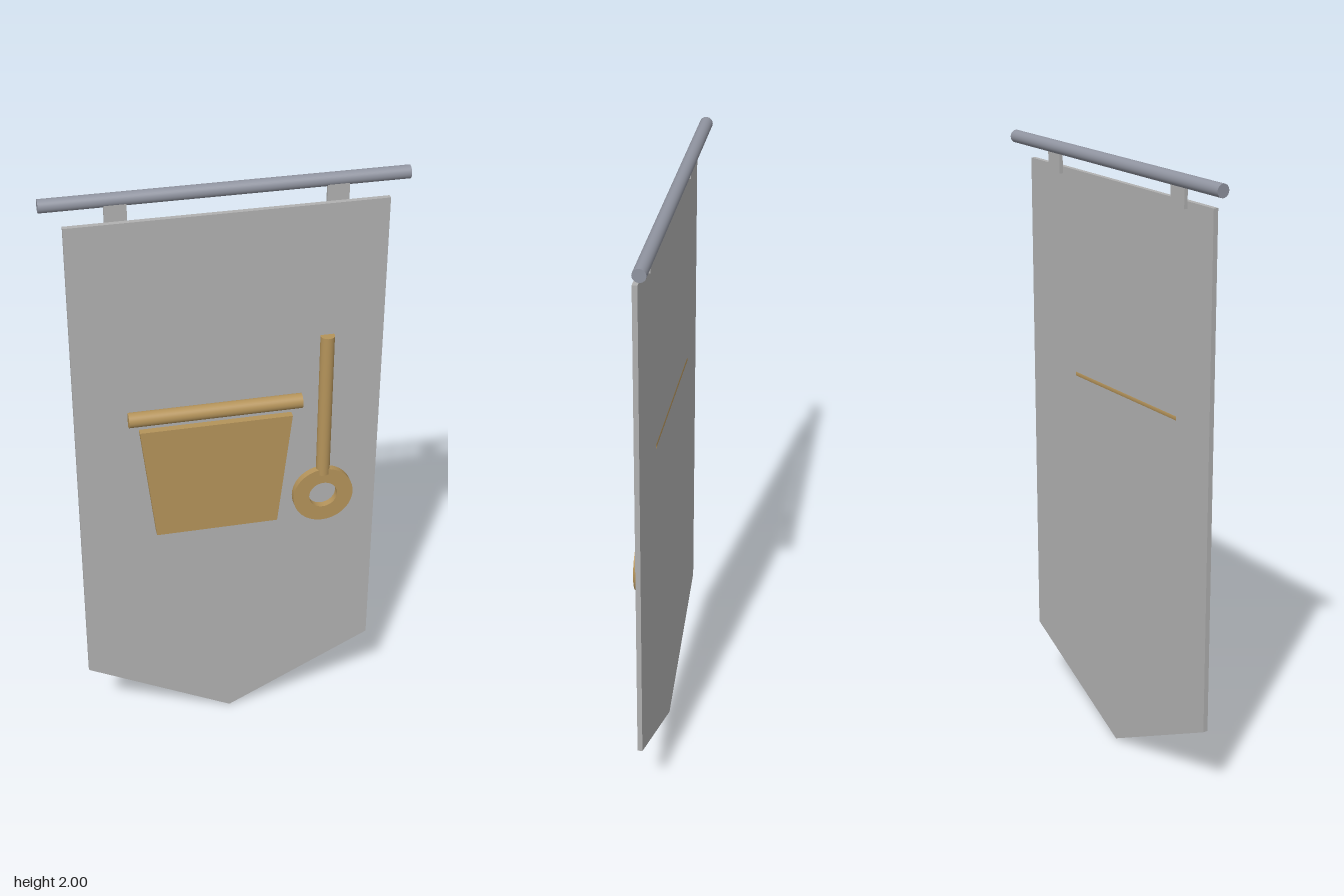
import * as THREE from 'three';

export function createModel() {
  const model = new THREE.Group();
  const cloth = new THREE.MeshStandardMaterial({ color: 0xb0b0b0 });
  cloth.name = 'greyCloth';
  const metal = new THREE.MeshStandardMaterial({ color: 0x9094a0 });
  metal.name = 'rodMetal';
  const gold = new THREE.MeshStandardMaterial({ color: 0xb4935a });
  gold.name = 'goldEmblem';

  const add = (name, geometry, material, x = 0, y = 0, z = 0) => {
    const mesh = new THREE.Mesh(geometry, material);
    mesh.name = name;
    mesh.position.set(x, y, z);
    model.add(mesh);
    return mesh;
  };
  const polygon = (points) => new THREE.Shape(points.map(([x, y]) => new THREE.Vector2(x, y)));
  const plate = (shape, depth) =>
    new THREE.ExtrudeGeometry(shape, { depth, bevelEnabled: false, curveSegments: 32 });

  // Pointed banner sheet
  const sheet = polygon([[-0.49, 0.25], [0, 0], [0.49, 0.25], [0.49, 1.917], [-0.49, 1.917]]);
  add('bannerCloth', plate(sheet, 0.016), cloth, 0, 0, -0.005);

  // Hanging rod and the two tabs behind the sheet
  const rod = new THREE.CylinderGeometry(0.0205, 0.0205, 1.11, 32).rotateZ(Math.PI / 2);
  add('hangingRod', rod, metal, 0, 1.9795, -0.0225);
  for (const side of [-1, 1]) {
    add(side > 0 ? 'leftTab' : 'rightTab',
      new THREE.BoxGeometry(0.067, 0.085, 0.012), cloth, side * 0.333, 1.9375, -0.011);
  }

  // Tapered bucket with a rounded rim bar
  const bucket = polygon([[-0.245, 0.803], [0.155, 0.803], [0.2, 1.203], [-0.29, 1.203]]);
  add('bucket', plate(bucket, 0.025), gold, 0, 0, 0.01);
  const rim = new THREE.CylinderGeometry(0.0245, 0.0245, 0.555, 32).rotateZ(Math.PI / 2);
  add('bucketRim', rim, gold, -0.046, 1.247, 0.0185);

  // Tool with a straight shaft and a ring end
  add('toolShaft', new THREE.CylinderGeometry(0.0225, 0.0225, 0.512, 32), gold, 0.309, 1.216, 0.0185);
  const ring = new THREE.Shape().absarc(0, 0, 0.1, 0, Math.PI * 2, false);
  ring.holes.push(new THREE.Path().absarc(0, 0, 0.047, 0, Math.PI * 2, true));
  add('toolRing', plate(ring, 0.025), gold, 0.309, 0.881, 0.01);

  return model;
}
